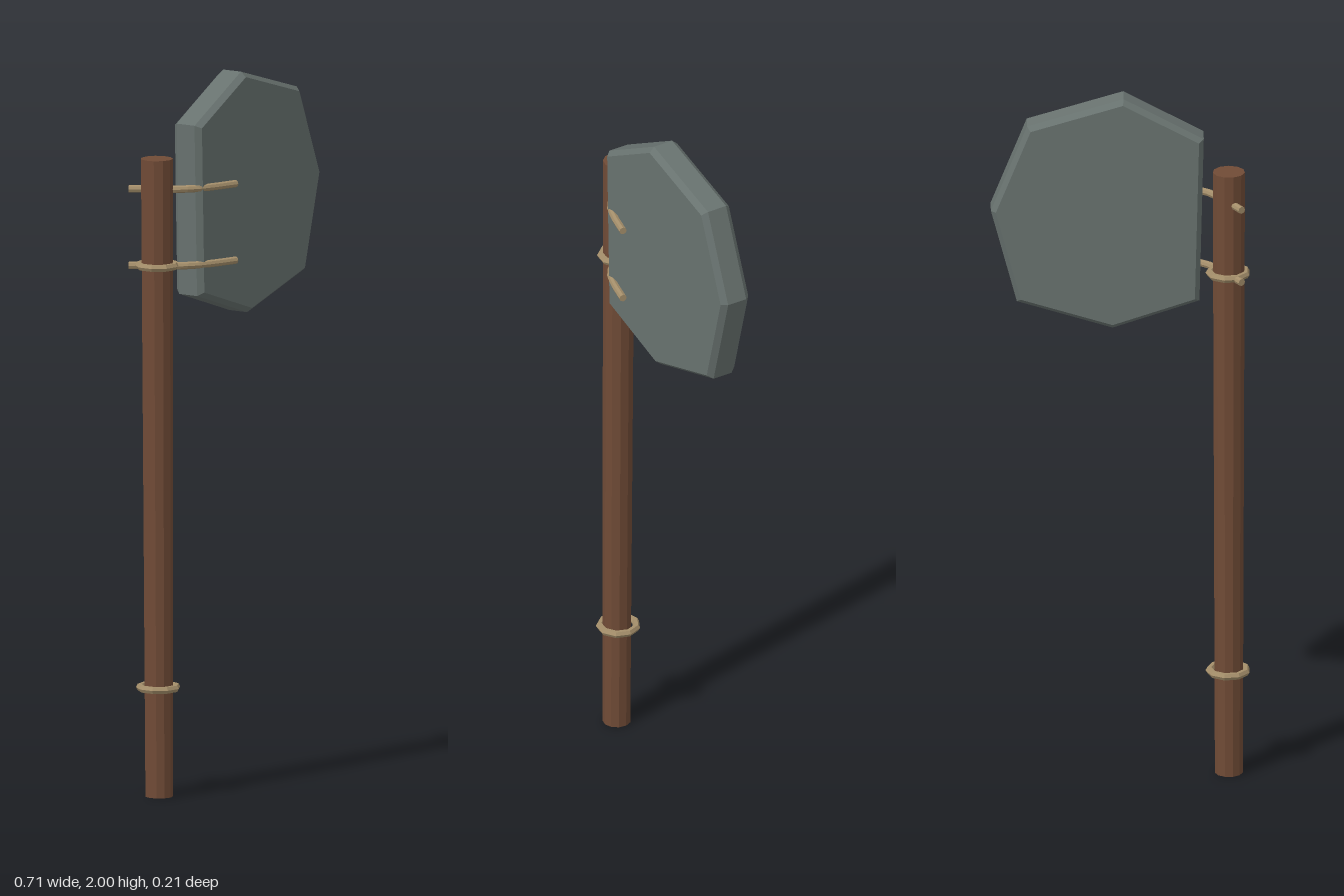
import * as THREE from 'three';

const mat = (name, color) => {
  const m = new THREE.MeshStandardMaterial({ color, flatShading: true });
  m.name = name;
  return m;
};

export function createModel() {
  const wood = mat('brown wood', 0x704b36);
  const stone = mat('grey stone', 0x68726f);
  const cord = mat('tan cord', 0xa48e6a);

  const model = new THREE.Group();
  model.name = 'stoneAxe';
  const add = (name, geometry, material, x = 0, y = 0, z = 0) => {
    const mesh = new THREE.Mesh(geometry, material);
    mesh.name = name;
    mesh.position.set(x, y, z);
    model.add(mesh);
    return mesh;
  };

  // Handle: a pole that thickens and leans slightly back towards the top
  const H = 1.79;
  const handle = new THREE.CylinderGeometry(0.045, 0.039, H, 11, 4);
  handle.translate(0, H / 2, 0);
  const p = handle.attributes.position;
  for (let i = 0; i < p.count; i++) {
    p.setZ(i, p.getZ(i) - 0.008 * p.getY(i) / H);
  }
  add('handle', handle, wood, -0.301, 0, -0.023);

  // Blade: seven-sided slab with chamfered rims
  const outline = [
    [-0.22, 1.40], [0.02, 1.32], [0.285, 1.40], [0.357, 1.67],
    [0.257, 1.92], [-0.01, 2.0], [-0.232, 1.88],
  ].map(([x, y]) => new THREE.Vector2(x, y));
  const blade = new THREE.ExtrudeGeometry(new THREE.Shape(outline), {
    depth: 0.06, bevelThickness: 0.016, bevelSize: 0.013,
    bevelOffset: -0.013, bevelSegments: 1,
  });
  add('blade', blade, stone, 0, 0, -0.012);

  // Cord rings around the handle
  for (const [name, y, z] of [['upperRing', 1.49, -0.031], ['lowerRing', 0.305, -0.027]]) {
    const ring = new THREE.TorusGeometry(0.052, 0.0105, 6, 9);
    ring.rotateX(Math.PI / 2);
    add(name, ring, cord, -0.299, y, z);
  }

  // Pegs that pass through the handle and bend over the blade face
  const path = new THREE.CatmullRomCurve3([
    [-0.336, -0.101], [-0.30, -0.042], [-0.265, 0.01],
    [-0.233, 0.043], [-0.18, 0.068], [-0.097, 0.093],
  ].map(([x, z]) => new THREE.Vector3(x, 0, z)));
  for (const [name, y] of [['upperPeg', 1.703], ['lowerPeg', 1.488]]) {
    add(name, new THREE.TubeGeometry(path, 10, 0.0105, 8), cord, 0, y, 0);
    // End caps
    for (const t of [0, 1]) {
      const cap = add(name + 'Cap', new THREE.CircleGeometry(0.0105, 8), cord);
      const dir = path.getTangentAt(t).multiplyScalar(t ? 1 : -1);
      cap.quaternion.setFromUnitVectors(new THREE.Vector3(0, 0, 1), dir);
      cap.position.copy(path.getPointAt(t)).setY(y);
    }
  }
  return model;
}
